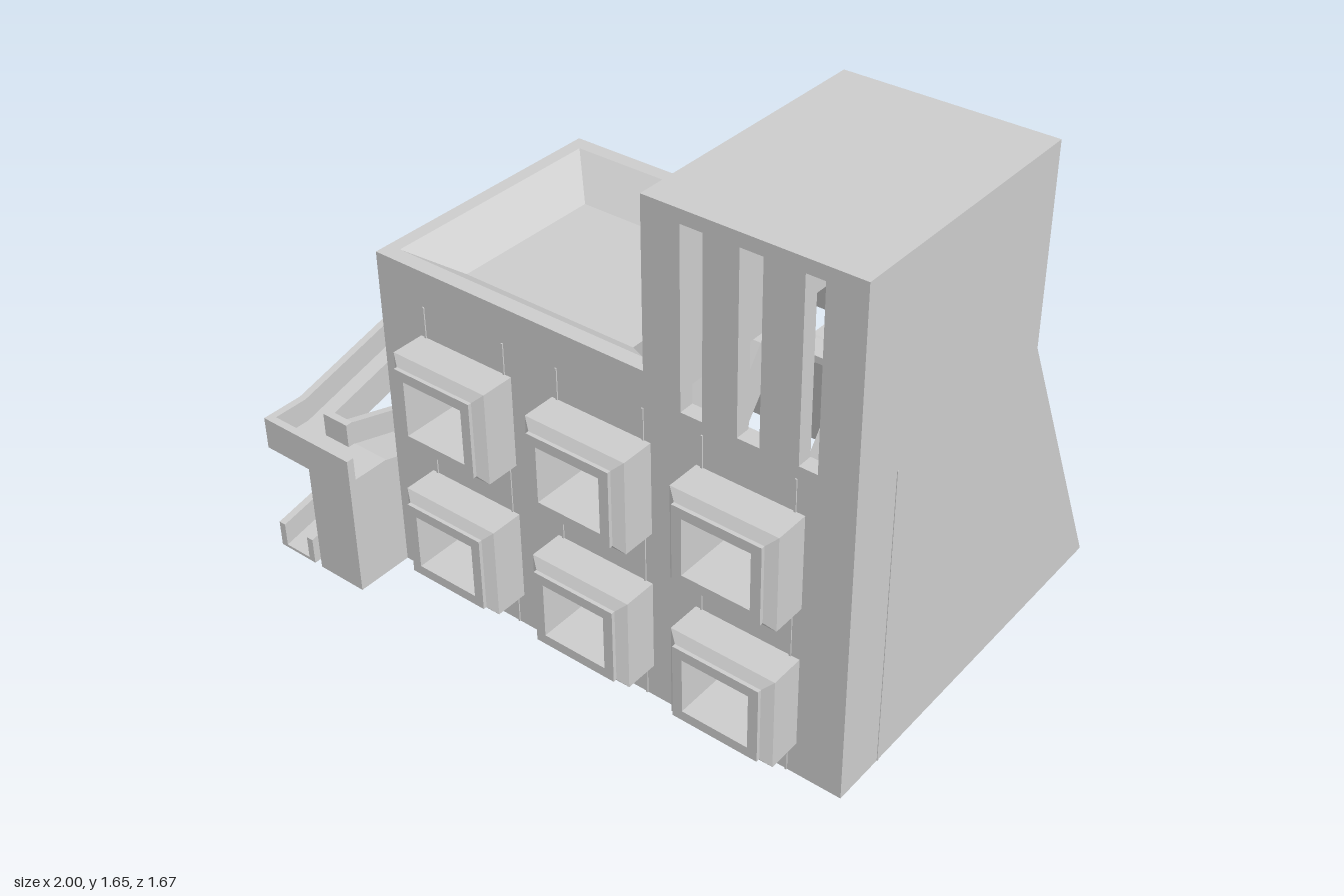
import * as THREE from 'three';

const mat = new THREE.MeshStandardMaterial({ color: 0xcccccc, flatShading: true, side: THREE.DoubleSide });

function outline(points, holes = []) {
  const s = new THREE.Shape(points.map(([x, y]) => new THREE.Vector2(x, y)));
  for (const [x0, x1, y0, y1] of holes) {
    s.holes.push(new THREE.Path([[x0, y0], [x0, y1], [x1, y1], [x1, y0]].map(([x, y]) => new THREE.Vector2(x, y))));
  }
  return s;
}
const rect = (x0, x1, y0, y1) => [[x0, y0], [x1, y0], [x1, y1], [x0, y1]];

export function createModel() {
  const model = new THREE.Group();

  function add(name, geometry, parent = model) {
    const mesh = new THREE.Mesh(geometry, mat);
    mesh.name = name;
    parent.add(mesh);
    return mesh;
  }
  function box(name, x0, x1, y0, y1, z0, z1, parent) {
    const m = add(name, new THREE.BoxGeometry(x1 - x0, y1 - y0, z1 - z0), parent);
    m.position.set((x0 + x1) / 2, (y0 + y1) / 2, (z0 + z1) / 2);
    return m;
  }
  const extrude = (shape, depth) => new THREE.ExtrudeGeometry(shape, { depth, bevelEnabled: false });
  // Profile given as [z, y], extruded from x0 to x1
  function side(name, points, x0, x1, parent) {
    const g = extrude(outline(points.map(([z, y]) => [-z, y])), x1 - x0);
    g.rotateY(Math.PI / 2).translate(x0, 0, 0);
    return add(name, g, parent);
  }
  // Flat polygon through corner points
  function panel(name, pts) {
    const g = new THREE.BufferGeometry();
    const v = [];
    for (let i = 1; i < pts.length - 1; i++) v.push(...pts[0], ...pts[i], ...pts[i + 1]);
    g.setAttribute('position', new THREE.Float32BufferAttribute(v, 3));
    g.computeVertexNormals();
    return add(name, g);
  }

  // Hollow building shell
  const T = 1.127, TOP = 1.647, CEIL = 1.608, TX = 0.333;
  const profile = (top) => [[0.64, 0.01], [0.64, top], [-0.237, top], [-0.237, 1.01], [-0.7, 0.01]];
  side('rightHandWall', profile(T), -0.64, -0.595);
  side('leftHandWall', profile(TOP), 0.95, 1);
  box('towerInnerWall', TX, TX + 0.05, 1.03, CEIL, -0.187, 0.59);
  box('towerRoof', TX, 0.95, CEIL, TOP, -0.237, 0.64);

  const winX = [-0.312, 0.183, 0.678], winY = [0.275, 0.755], hw = 0.11, hh = 0.0925;
  const holes = [[0.455, 0.525, 1.05, 1.605], [0.635, 0.705, 1.05, 1.605], [0.825, 0.882, 1.05, 1.605]];
  for (const x of winX) for (const y of winY) holes.push([x - hw, x + hw, y - hh, y + hh]);
  const stepped = (y0) => [[-0.595, y0], [0.95, y0], [0.95, CEIL], [TX, CEIL], [TX, T], [-0.595, T]];
  add('frontWall', extrude(outline(stepped(0.01), holes), 0.05)).position.z = 0.59;
  add('upperBackWall', extrude(outline(stepped(1.01)), 0.05)).position.z = -0.237;

  // Leaning back wall, slightly recessed, with two openings above the balcony arms
  const lean = add('leaningBackWall', extrude(outline(rect(-0.595, 0.95, 0.013, 1.11),
    [[-0.59, -0.468, 0.68, 0.913], [0.147, 0.29, 0.68, 0.913]]), 0.03));
  lean.rotation.x = Math.atan2(0.46, 1);
  lean.position.set(0, 0.01, -0.692);

  // Sunken roof terrace with sloping sides and a gutter toward the tower
  const B = 1.03;
  const X0 = -0.595, X1 = 0.29, Z0 = -0.187, Z1 = 0.59, x0 = -0.467, x1 = 0.15, z0 = -0.06, z1 = 0.46, g0 = 0.14, g1 = 0.27;
  panel('terraceFloor', [[x0, B, z0], [x0, B, z1], [x1, B, z1], [x1, B, z0]]);
  panel('terraceBackSlope', [[X0, T, Z0], [x0, B, z0], [x1, B, z0], [X1, T, Z0]]);
  panel('terraceFrontSlope', [[X0, T, Z1], [X1, T, Z1], [x1, B, z1], [x0, B, z1]]);
  panel('terraceSideSlope', [[X0, T, Z0], [X0, T, Z1], [x0, B, z1], [x0, B, z0]]);
  panel('terraceTowerSlope', [[X1, T, Z0], [x1, B, z0], [x1, B, g0], [X1, T, g0]]);
  panel('terraceTowerSlope', [[X1, T, g1], [x1, B, g1], [x1, B, z1], [X1, T, Z1]]);
  panel('gutterFloor', [[x1, B, g0], [x1, B, g1], [TX, B, g1], [TX, B, g0]]);
  for (const z of [g0, g1]) panel('gutterSide', [[x1, B, z], [TX, B, z], [TX, T, z], [X1, T, z]]);
  for (const [a, b] of [[Z0, g0], [g1, Z1]]) {
    panel('terraceRim', [[X1, T, a], [X1, T, b], [TX, T, b], [TX, T, a]]);
  }

  // Window surrounds: block, chamfer and slim inner frame around an opening
  for (const x of winX) for (const y of winY) {
    const win = new THREE.Group();
    win.name = 'windowSurround';
    win.position.set(x, y, 0);
    model.add(win);
    const hole = [[-hw, hw, -hh, hh]];
    add('windowBlock', extrude(outline(rect(-0.172, 0.172, -0.152, 0.152), hole), 0.11), win).position.z = 0.64;
    const collar = new THREE.CylinderGeometry(Math.SQRT1_2, Math.SQRT1_2, 0.02, 4, 1, true);
    collar.rotateY(Math.PI / 4).rotateX(Math.PI / 2);
    const p = collar.attributes.position;
    for (let i = 0; i < p.count; i++) {
      const front = p.getZ(i) > 0;
      p.setXY(i, p.getX(i) * (front ? 0.285 : 0.344), p.getY(i) * (front ? 0.25 : 0.304));
    }
    add('windowChamfer', collar, win).position.z = 0.76;
    add('windowFrame', extrude(outline(rect(-0.1425, 0.1425, -0.125, 0.125), hole), 0.032), win).position.z = 0.75;
  }

  // Fine joint lines on the front and side walls
  for (const x of [-0.465, -0.165, 0.03, 0.33, 0.525, 0.82]) box('wallJoint', x - 0.003, x + 0.003, 0.01, 1.01, 0.63, 0.644);
  for (const x of [-0.637, 0.995]) box('wallJoint', x - 0.007, x + 0.007, 0.01, 1.01, 0.457, 0.463);

  // Inner footing ring under the building
  const ring = extrude(outline(rect(-0.51, 0.87, -0.51, 0.56), [[-0.46, 0.82, -0.46, 0.46]]), 0.06);
  ring.rotateX(Math.PI / 2).translate(0, 0.07, 0);
  add('footingRing', ring);

  // Slanted struts inside, reaching the ground
  for (const x of [-0.163, 0.33]) {
    side('innerStrut', [[0.01, 0], [0.15, 0], [-0.3, 0.6], [-0.4, 0.59], [-0.42, 0.55]], x, x + 0.193);
  }

  // Balcony frame whose arms run in through the wall openings, with two diagonal braces
  const deck = extrude(outline([[-0.595, 0.838], [0.29, 0.838], [0.29, 0.315], [0.147, 0.315], [0.147, 0.705],
    [-0.468, 0.705], [-0.468, 0.315], [-0.595, 0.315]]), 0.025);
  deck.rotateX(-Math.PI / 2).translate(0, 0.6, 0);
  add('balconyFrame', deck);
  for (const [a, b] of [[-0.595, -0.468], [0.147, 0.29]]) {
    side('balconyBrace', [[-0.838, 0.605], [-0.705, 0.605], [-0.515, 0.355], [-0.565, 0.245]], a, b);
  }

  // Switchback ramp beside the building
  const ramp = new THREE.Group();
  ramp.name = 'switchbackRamp';
  model.add(ramp);
  const R = 0.025;
  // Sloped lane: floor slab with a rail on each listed edge
  function lane(name, a, b, zs, ys, ze, ye, base, rails) {
    const low = (y) => (base === null ? y - 0.03 : base);
    side(name, [[zs, low(ys)], [zs, ys], [ze, ye], [ze, low(ye)]], a, b, ramp);
    for (const x of rails) {
      side(name + 'Rail', [[zs, low(ys)], [zs, ys + 0.08], [ze, ye + 0.08], [ze, low(ye)]], x, x + R, ramp);
    }
  }
  lane('lowerRamp', -1, -0.85, 0.835, 0.02, -0.04, 0.21, 0.01, [-1, -0.85 - R]);
  lane('middleRamp', -0.8, -0.64, -0.04, 0.21, 0.69, 0.42, null, [-0.8]);
  lane('upperRamp', -1, -0.85, 0.69, 0.42, -0.04, 0.62, null, [-1, -0.85 - R]);

  // Landing with rails on its outer and end edges plus the short inner edge
  function landing(name, zi, zo, y0, floor, top) {
    const d = Math.sign(zo - zi) * R;
    const span = (a, b) => [Math.min(a, b), Math.max(a, b)];
    box(name, -1, -0.64, y0, floor, ...span(zi, zo), ramp);
    box(name + 'EndRail', -1, -0.64, floor, top, ...span(zo - d, zo), ramp);
    box(name + 'OuterRail', -1, -1 + R, floor, top, ...span(zi, zo), ramp);
    box(name + 'InnerRail', -0.875, -0.775, floor, top, ...span(zi, zi + d), ramp);
  }
  landing('lowerLanding', -0.04, -0.19, 0.01, 0.21, 0.295);
  landing('middleLanding', 0.685, 0.835, 0.39, 0.42, 0.5);
  landing('upperLanding', -0.04, -0.19, 0.6, 0.62, 0.7);
  box('upperLandingFrontRail', -0.85, -0.64, 0.6, 0.7, -0.065, -0.04, ramp);
  box('landingColumn', -0.82, -0.64, 0.01, 0.39, 0.64, 0.835, ramp);

  return model;
}
